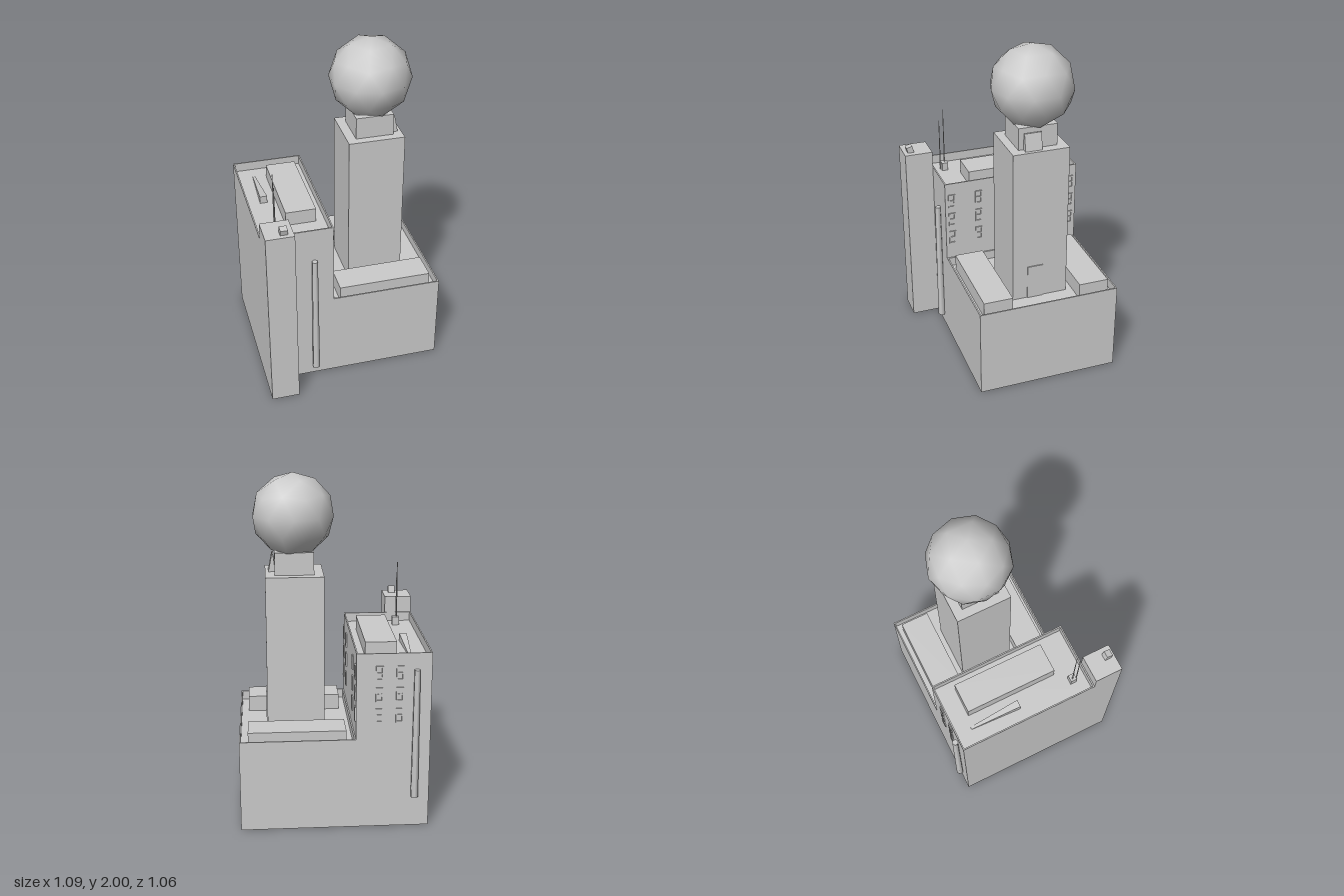
import * as THREE from 'three';

const grey = new THREE.MeshStandardMaterial({ color: 0xcccccc });

export function createModel() {
  const model = new THREE.Group();

  function add(name, geometry, parent = model) {
    const mesh = new THREE.Mesh(geometry, grey);
    mesh.name = name;
    parent.add(mesh);
    return mesh;
  }

  // Box given by its minimum and maximum on each axis
  function block(name, [x0, x1], [y0, y1], [z0, z1], parent = model) {
    const mesh = add(name, new THREE.BoxGeometry(x1 - x0, y1 - y0, z1 - z0), parent);
    mesh.position.set((x0 + x1) / 2, (y0 + y1) / 2, (z0 + z1) / 2);
    return mesh;
  }

  // Prism from an outline in (a, y), with an optional hole, extruded along +z
  function prism(points, depth, hole) {
    const shape = new THREE.Shape(points.map(p => new THREE.Vector2(...p)));
    if (hole) shape.holes.push(new THREE.Path(hole.map(p => new THREE.Vector2(...p))));
    return new THREE.ExtrudeGeometry(shape, { depth, bevelEnabled: false });
  }

  const rect = (x0, x1, y0, y1) => [[x0, y0], [x1, y0], [x1, y1], [x0, y1]];

  // Building with a thin parapet around a sunken roof
  function building(name, [x0, x1], [z0, z1], roof, top) {
    const group = new THREE.Group();
    group.name = name;
    model.add(group);
    block(name + 'Walls', [x0, x1], [0, roof], [z0, z1], group);
    const t = 0.008;
    const rim = prism(rect(x0, x1, -z1, -z0), top - roof,
      rect(x0 + t, x1 - t, -z1 + t, -z0 - t));
    rim.rotateX(-Math.PI / 2);
    add(name + 'Parapet', rim, group).position.y = roof;
  }

  building('lowBuilding', [-0.12, 0.54], [-0.49, 0.36], 0.49, 0.545);
  building('tallBuilding', [-0.545, -0.12], [-0.49, 0.36], 1.0, 1.055);
  block('cornerShaft', [-0.545, -0.38], [0, 1.155], [0.36, 0.53]);

  // Raised roof slabs
  block('tallRoofSlab', [-0.36, -0.18], [1.0, 1.085], [-0.37, 0.19]);
  block('frontRoofSlab', [-0.07, 0.49], [0.49, 0.585], [0.145, 0.32]);
  block('backRoofSlab', [-0.07, 0.49], [0.49, 0.585], [-0.45, -0.27]);

  // Tower, neck and faceted ball
  block('tower', [0.04, 0.375], [0.49, 1.43], [-0.23, 0.105]);
  block('neck', [0.095, 0.32], [1.43, 1.56], [-0.175, 0.055]);
  const ball = new THREE.IcosahedronGeometry(0.24, 1);
  ball.rotateZ(Math.atan(2 / (1 + Math.sqrt(5)))); // one corner straight up
  add('ball', ball).position.set(0.21, 1.76, -0.065);

  // Tower door and leaning panel beside the neck
  block('towerDoor', [0.37, 0.381], [0.49, 0.7], [-0.08, 0.015]);
  add('leaningPanel', prism([[0.315, 1.43], [0.355, 1.43], [0.335, 1.53], [0.327, 1.53]], 0.1))
    .position.z = -0.075;

  // Windows: a frame with two openings and a middle bar
  const windowGeometry = (() => {
    const shape = new THREE.Shape(rect(-0.021, 0.021, -0.042, 0.042)
      .map(p => new THREE.Vector2(...p)));
    for (const [y0, y1] of [[-0.034, -0.004], [0.004, 0.034]]) {
      shape.holes.push(new THREE.Path(rect(-0.013, 0.013, y0, y1)
        .map(p => new THREE.Vector2(...p))));
    }
    return new THREE.ExtrudeGeometry(shape, { depth: 0.008, bevelEnabled: false });
  })();
  for (const y of [0.69, 0.815, 0.94]) {
    for (const z of [0.32, 0.15, -0.28, -0.45]) {
      const w = add('sideWindow', windowGeometry);
      w.position.set(-0.121, y, z);
      w.rotation.y = Math.PI / 2;
    }
    for (const x of [-0.25, -0.365]) {
      const w = add('backWindow', windowGeometry);
      w.position.set(x, y, -0.489);
      w.rotation.y = Math.PI;
    }
  }

  // Drain pipes on the front and back walls
  function pipe(name, x, z, y0, y1) {
    const geometry = new THREE.CylinderGeometry(0.018, 0.023, y1 - y0, 6);
    add(name, geometry).position.set(x, (y0 + y1) / 2, z);
  }
  pipe('frontPipe', -0.236, 0.376, 0.06, 0.85);
  pipe('backPipe', -0.459, -0.505, 0.19, 0.96);

  // Tapered ramp lying on the tall roof
  const ramp = prism([[0.08, 0], [0.39, 0], [0.39, 0.005], [0.08, 0.045]], 0.044);
  ramp.rotateY(Math.PI / 2);
  const p = ramp.attributes.position;
  for (let i = 0; i < p.count; i++) {
    const narrow = 1 - 0.65 * (-p.getZ(i) - 0.08) / 0.31;
    p.setX(i, (p.getX(i) - 0.022) * narrow);
  }
  ramp.computeVertexNormals();
  add('roofRamp', ramp).position.set(-0.435, 1.0, 0);

  // Small vents and aerials
  const shaftVent = block('shaftVent', [-0.457, -0.415], [1.15, 1.193], [0.47, 0.508]);
  shaftVent.rotation.x = 0.25;
  block('roofVent', [-0.457, -0.415], [1.0, 1.05], [0.253, 0.29]);
  for (const [z, top] of [[0.295, 1.33], [0.268, 1.4]]) {
    const aerial = add('aerial', new THREE.CylinderGeometry(0.002, 0.004, top - 1.0, 5));
    aerial.position.set(-0.443, (top + 1.0) / 2, z);
  }

  return model;
}
